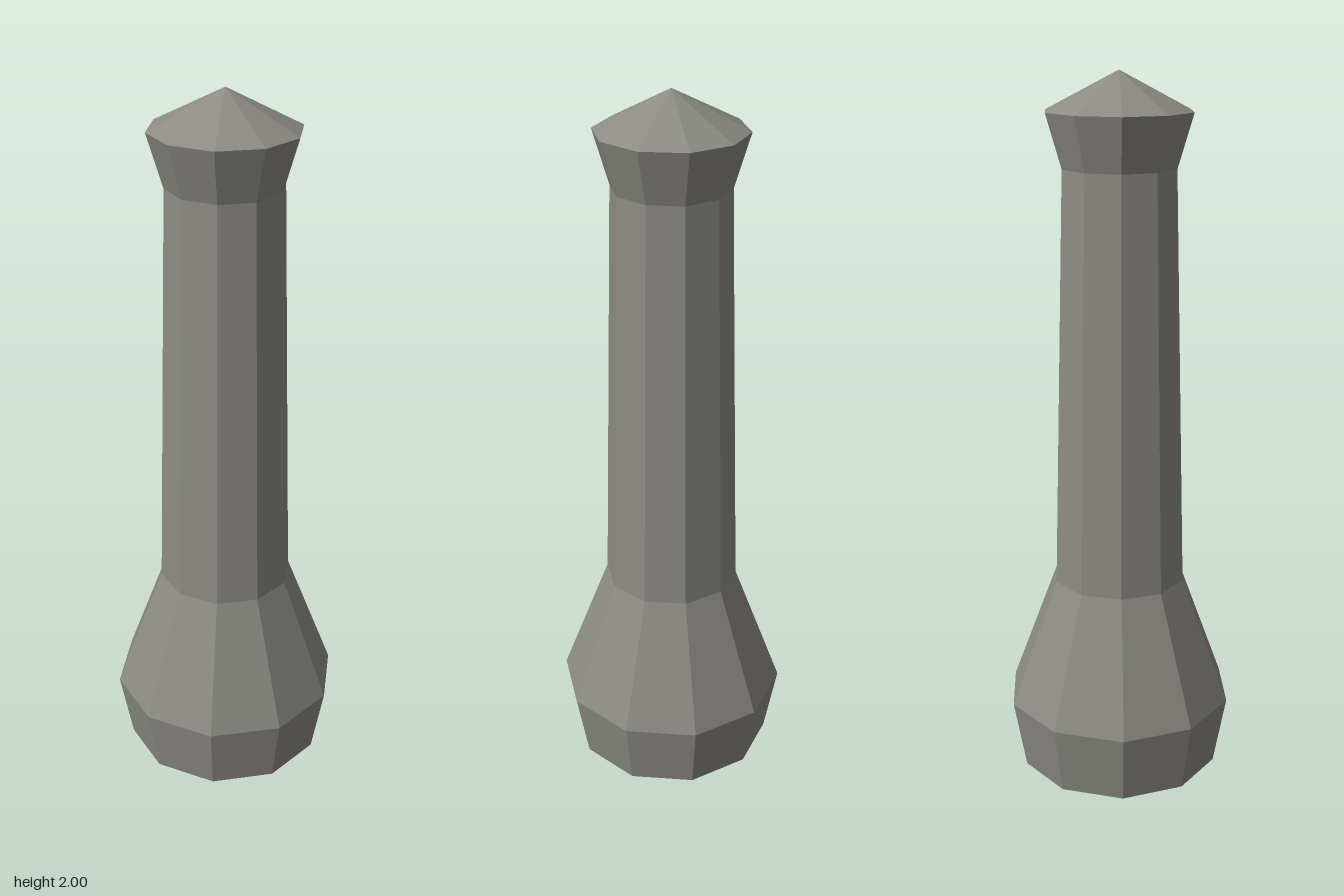
import * as THREE from 'three';

const SIDES = 10;

export function createModel() {
  const group = new THREE.Group();
  const stone = new THREE.MeshStandardMaterial({ color: 0x8c8b85 });
  stone.name = 'grey stone';

  // Open ten-sided ring between two heights, faceted, with corners on the x axis
  const addSection = (name, [r0, y0], [r1, y1]) => {
    const geometry = new THREE.CylinderGeometry(r1, r0, y1 - y0, SIDES, 1, true, Math.PI / 2)
      .toNonIndexed();
    geometry.translate(0, (y0 + y1) / 2, 0);
    geometry.computeVertexNormals();
    const mesh = new THREE.Mesh(geometry, stone);
    mesh.name = name;
    group.add(mesh);
  };

  // Profile from the bottom point to the top point: [radius, height]
  const profile = [
    [0, 0], [0.28, 0.09], [0.315, 0.285], [0.183, 0.64],
    [0.153, 1.76], [0.195, 1.9], [0, 2],
  ];
  const names = ['bottomPoint', 'bulb', 'shoulder', 'shaft', 'flaredCollar', 'topCap'];
  names.forEach((name, i) => addSection(name, profile[i], profile[i + 1]));

  return group;
}
